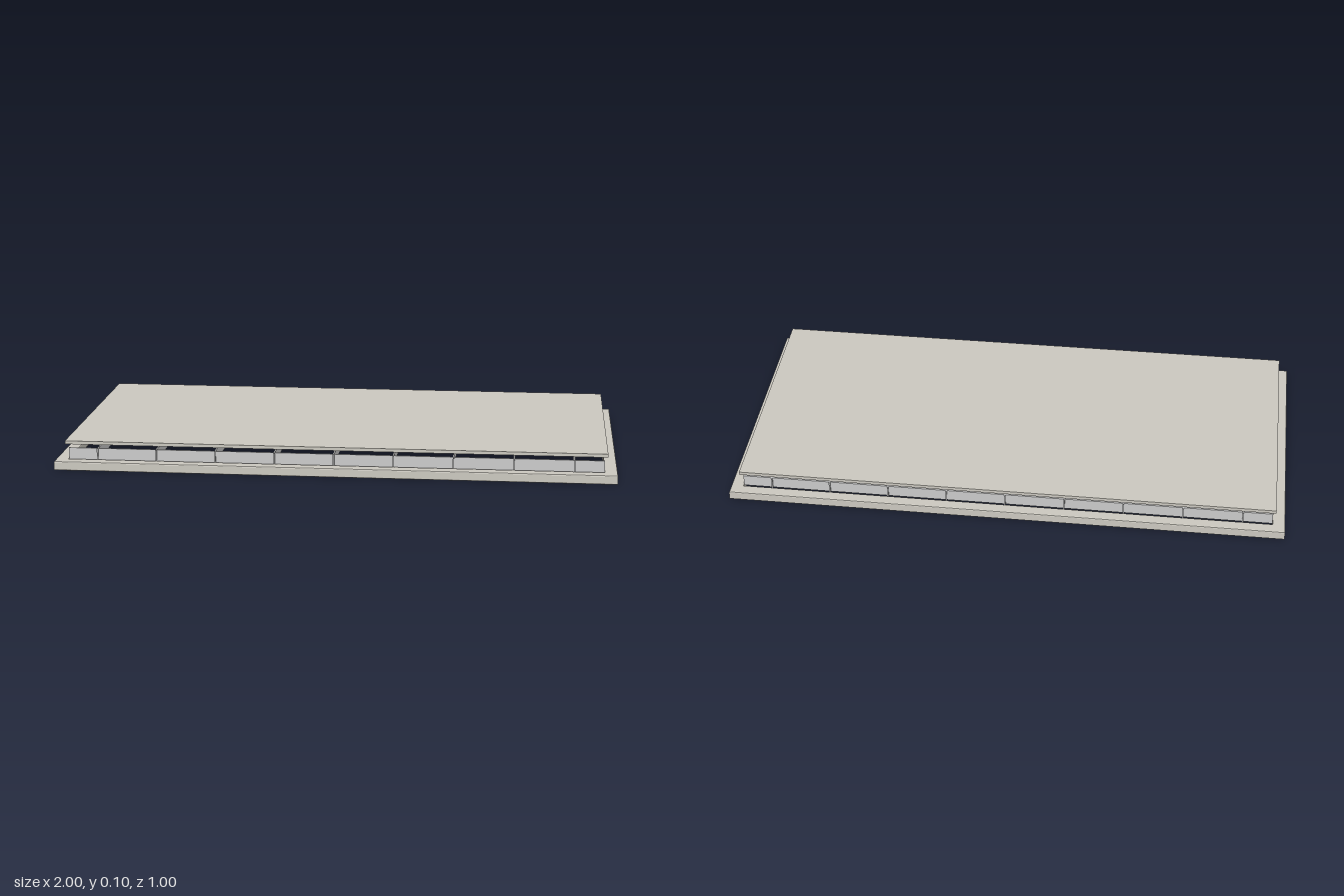
import * as THREE from 'three';

const mat = (color) => new THREE.MeshStandardMaterial({ color });

function rect(Type, hx, hz) {
  const s = new Type();
  s.moveTo(-hx, -hz);
  s.lineTo(hx, -hz);
  s.lineTo(hx, hz);
  s.lineTo(-hx, hz);
  s.closePath();
  return s;
}

export function createModel() {
  const group = new THREE.Group();
  const warm = mat(0xccc9c0);
  const grey = mat(0xcccccc);
  const socketMat = mat(0xaaaaaa);
  const tubeMat = mat(0xe0d8c8);

  const add = (name, geometry, material, x = 0, y = 0, z = 0) => {
    const mesh = new THREE.Mesh(geometry, material);
    mesh.name = name;
    mesh.position.set(x, y, z);
    group.add(mesh);
    return mesh;
  };
  const box = (name, w, h, d, x, y, z, material = grey) =>
    add(name, new THREE.BoxGeometry(w, h, d), material, x, y, z);

  // Bottom frame with softened edges
  const bevel = 0.004;
  const outline = rect(THREE.Shape, 1 - bevel, 0.5 - bevel);
  outline.holes.push(rect(THREE.Path, 0.955 + bevel, 0.457 + bevel));
  const frameGeo = new THREE.ExtrudeGeometry(outline, {
    depth: 0.033 - 2 * bevel, bevelEnabled: true,
    bevelThickness: bevel, bevelSize: bevel, bevelSegments: 2,
  });
  frameGeo.rotateX(-Math.PI / 2);
  add('frame', frameGeo, warm, 0, bevel, 0);

  // Top plate
  box('topPlate', 1.93, 0.012, 0.934, 0, 0.095, 0, warm);

  // Louvre: long rails, then cross blades whose tips pass through the side rails
  const bottom = 0.03, top = 0.072;
  const h = top - bottom, midY = (top + bottom) / 2;
  for (const z of [-0.448, 0, 0.448]) box('louvreRail', 1.91, h, 0.005, 0, midY, z);
  const blades = 9, spacing = 0.2125;
  for (let i = 0; i < blades; i++) {
    box('crossBlade', 0.005, h, 0.914, (i - (blades - 1) / 2) * spacing, midY, 0);
  }

  // Socket profile: flat top, rounded lower corners
  const w = 0.033, hgt = 0.043, r = 0.01;
  const profile = new THREE.Shape();
  profile.moveTo(-w, hgt);
  profile.lineTo(-w, r);
  profile.quadraticCurveTo(-w, 0, -w + r, 0);
  profile.lineTo(w - r, 0);
  profile.quadraticCurveTo(w, 0, w, r);
  profile.lineTo(w, hgt);
  profile.closePath();
  const socketGeo = new THREE.ExtrudeGeometry(profile, { depth: 0.03, bevelEnabled: false, curveSegments: 6 });
  socketGeo.translate(0, 0, -0.015);
  socketGeo.rotateY(Math.PI / 2);

  // Two lamp tubes, each held by a socket at either end
  const tubeGeo = new THREE.CylinderGeometry(0.019, 0.019, 1.86, 24);
  tubeGeo.rotateZ(Math.PI / 2);
  for (const z of [-0.217, 0.217]) {
    add('lampTube', tubeGeo, tubeMat, 0, 0.069, z);
    for (const x of [-0.94, 0.94]) add('socket', socketGeo, socketMat, x, 0.047, z);
  }

  return group;
}
